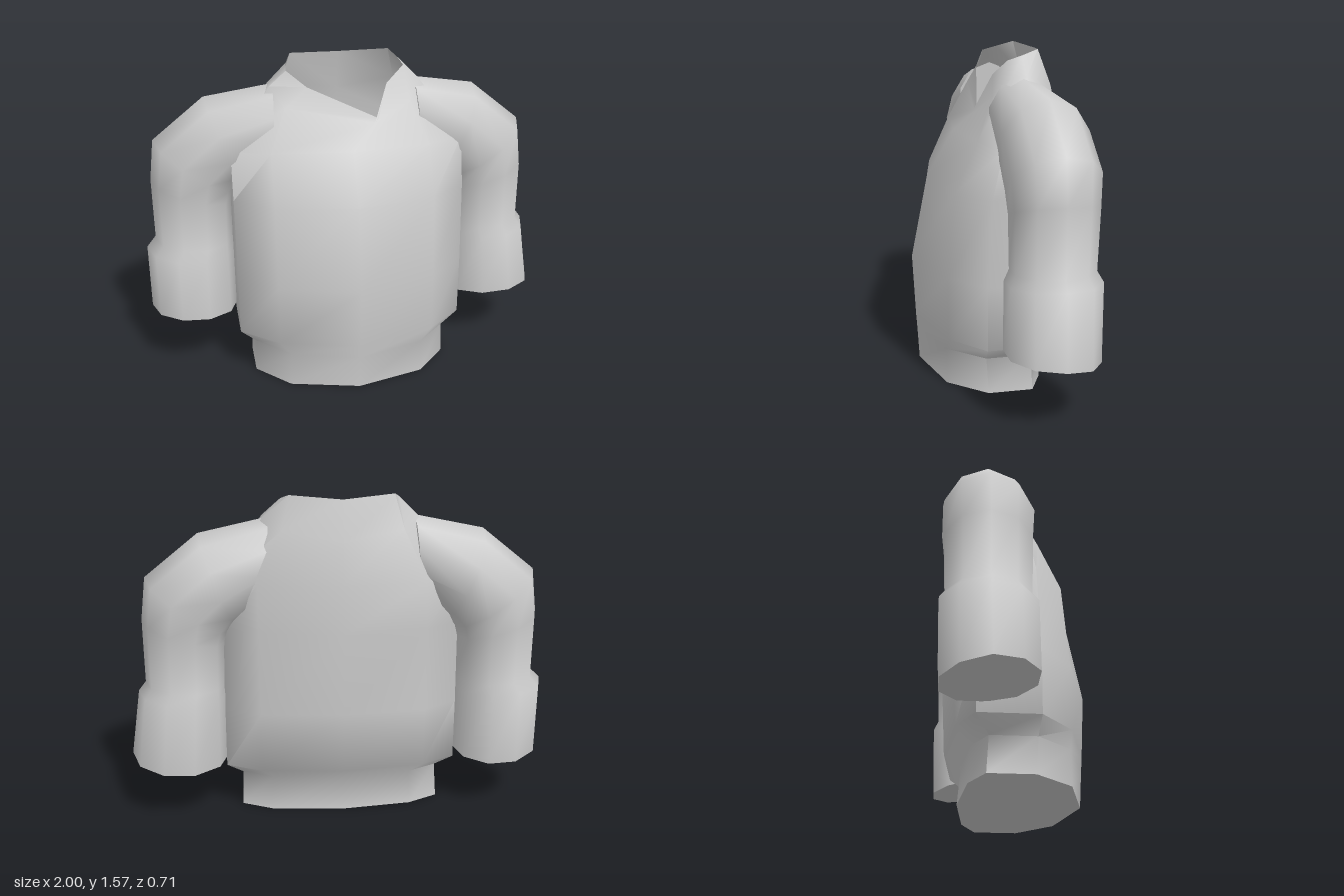
import * as THREE from 'three';
import { toCreasedNormals } from 'three/addons/utils/BufferGeometryUtils.js';

// Skin a list of equal-length rings of [x, y, z]; optional fans close the ends.
function loft(rings, capStart, capEnd) {
  const n = rings[0].length;
  const pos = rings.flat(2);
  const index = [];
  for (let i = 0; i < rings.length - 1; i++) {
    for (let j = 0; j < n; j++) {
      const a = i * n + j, b = i * n + (j + 1) % n;
      index.push(a, b, b + n, a, b + n, a + n);
    }
  }
  const cap = (i, flip) => {
    const c = pos.length / 3;
    for (let k = 0; k < 3; k++) pos.push(rings[i].reduce((s, p) => s + p[k], 0) / n);
    for (let j = 0; j < n; j++) {
      const a = i * n + j, b = i * n + (j + 1) % n;
      index.push(...(flip ? [c, b, a] : [c, a, b]));
    }
  };
  if (capStart) cap(0, true);
  if (capEnd) cap(rings.length - 1, false);
  const g = new THREE.BufferGeometry();
  g.setAttribute('position', new THREE.Float32BufferAttribute(pos, 3));
  g.setIndex(index);
  return toCreasedNormals(g, 1.05);
}

// Ring from its front centre, left-hand points and back centre, mirrored in x.
function mirrorRing(front, left, back) {
  const right = left.map(([x, y, z]) => [-x, y, z]).reverse();
  return [front, ...left, back, ...right].map(([x, y, z]) => [x - 0.015, y, z]);
}

// Level torso section: half width and depths from front centre to back centre.
function torsoRing([y, w, front, corner, side1, side2, backCorner, back]) {
  return mirrorRing([0, y, front],
    [[w * 0.68, y, corner], [w, y, side1], [w, y, side2], [w * 0.7, y, backCorner]],
    [0, y, back]);
}

function torsoGeometry() {
  const rings = [
    [0.01, 0.49, 0.335, 0.25, 0.08, -0.13, -0.2, -0.235],
    [0.18, 0.48, 0.345, 0.25, 0.09, -0.12, -0.19, -0.22],
    [0.25, 0.56, 0.35, 0.25, 0.1, -0.18, -0.26, -0.3],
    [0.55, 0.56, 0.365, 0.25, 0.1, -0.18, -0.28, -0.315],
    [0.95, 0.56, 0.285, 0.215, 0.08, -0.16, -0.27, -0.335],
    [1.18, 0.56, 0.15, 0.11, 0.03, -0.2, -0.28, -0.315],
  ].map(torsoRing);
  // shoulder line where the collar starts
  rings.push(mirrorRing([0.12, 1.29, 0.075],
    [[0.3, 1.37, 0.025], [0.36, 1.46, -0.05], [0.36, 1.46, -0.12], [0.28, 1.42, -0.25]],
    [0, 1.37, -0.285]));
  // collar rim, open in an off-centre V
  const rim = mirrorRing([0.14, 1.31, 0.065],
    [[0.19, 1.46, 0], [0.28, 1.53, -0.05], [0.27, 1.55, -0.12], [0.24, 1.575, -0.2]],
    [0, 1.56, -0.25]);
  rings.push(rim);
  return loft(rings, true, false);
}

// Sleeve stations: outer x, y; inner x, y; back z, front z
function sleeveGeometry(side, cuffTop, cuffEnd) {
  const stations = [
    [0.34, 1.46, 0.36, 1.08, -0.25, 0.05],
    [0.66, 1.4, 0.5, 0.98, -0.34, 0.05],
    [0.91, 1.2, 0.535, 0.93, -0.345, 0.05],
    [0.935, 1.0, 0.55, 0.88, -0.335, 0.04],
    [0.935, 0.69, 0.555, 0.67, -0.325, 0.035],
    [cuffTop, 0.645, 0.55, 0.62, -0.35, 0.06],
    [cuffEnd, 0.32, 0.55, 0.3, -0.34, 0.065],
  ];
  const sides = 10;
  const rings = stations.map(([ox, oy, ix, iy, zb, zf], s) => {
    const ring = [];
    for (let k = 0; k < sides; k++) {
      const a = (k / sides) * Math.PI * 2;
      const u = (1 + Math.cos(a)) / 2;
      const v = THREE.MathUtils.clamp(Math.sin(a) * 1.05, -1, 1);
      const dip = s === stations.length - 1 ? 0.02 * v - 0.01 * Math.abs(v) : 0;
      ring.push([
        side * (ix + (ox - ix) * u) - 0.02,
        iy + (oy - iy) * u + dip,
        (zb + zf) / 2 + v * (zf - zb) / 2,
      ]);
    }
    return side > 0 ? ring : ring.reverse();
  });
  return loft(rings, true, true);
}

export function createModel() {
  const group = new THREE.Group();
  group.name = 'jacket';
  const material = new THREE.MeshStandardMaterial({ color: 0xcccccc, side: THREE.DoubleSide });
  const add = (name, geometry) => {
    const mesh = new THREE.Mesh(geometry, material);
    mesh.name = name;
    group.add(mesh);
  };
  add('torsoAndCollar', torsoGeometry());
  add('leftSleeve', sleeveGeometry(1, 0.97, 1.02));
  add('rightSleeve', sleeveGeometry(-1, 0.98, 0.98));
  return group;
}
